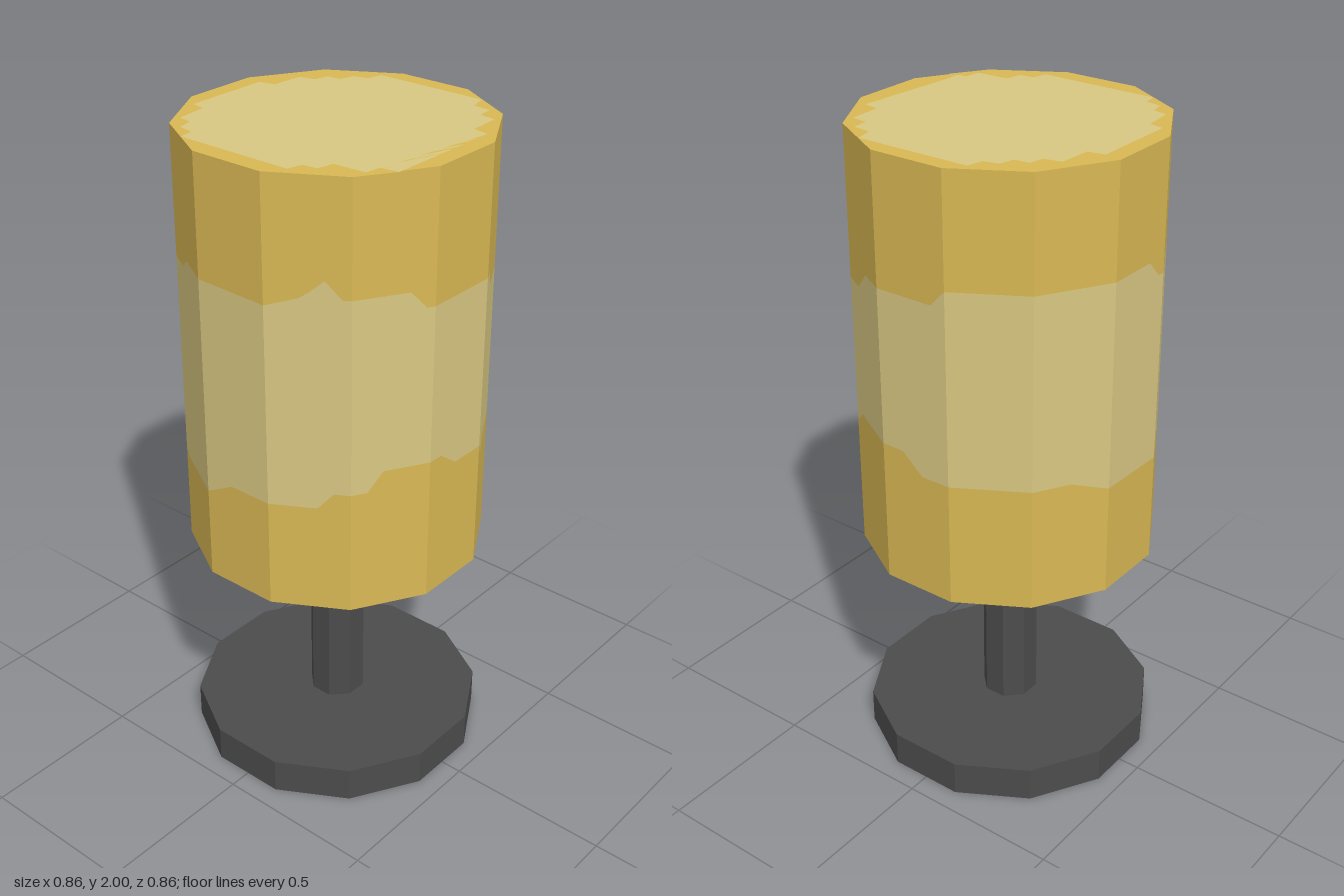
import * as THREE from 'three';

const RADIUS = 0.447, SIDES = 12, SHADE_BOTTOM = 0.71, SHADE_TOP = 2;
const rad = THREE.MathUtils.degToRad;

// Ragged borders of the pale band: [degrees from the front towards +x, height]
const bandTop = [[-75, 1.64], [-62, 1.67], [-54, 1.72], [-48, 1.67], [-24, 1.67], [-18, 1.62], [21, 1.62],
  [27, 1.56], [54, 1.56], [63, 1.62], [99, 1.62], [105, 1.67], [186, 1.67], [192, 1.62], [234, 1.62],
  [240, 1.65], [285, 1.64]];
const bandBottom = [[-75, 1.04], [-57, 1.04], [-51, 1.09], [-39, 1.09], [-33, 1.15], [-9, 1.15], [0, 1.1],
  [15, 1.1], [21, 1.05], [27, 1.09], [42, 1.09], [51, 1.15], [84, 1.15], [93, 1.09], [150, 1.09],
  [165, 1.05], [220, 1.04], [228, 0.99], [255, 0.99], [267, 1.04], [285, 1.04]];

// Stepped outline of the pale patch on the lid, as x, z
const lidPatch = [[-0.16, -0.38], [0.105, -0.38], [0.115, -0.33], [0.215, -0.325], [0.225, -0.275],
  [0.27, -0.265], [0.275, -0.22], [0.32, -0.21], [0.33, -0.165], [0.38, -0.155], [0.38, 0.2],
  [0.325, 0.215], [0.32, 0.27], [0.27, 0.275], [0.265, 0.325], [0.165, 0.33], [0.155, 0.38],
  [-0.215, 0.38], [-0.222, 0.325], [-0.27, 0.32], [-0.275, 0.22], [-0.325, 0.21], [-0.33, 0.165],
  [-0.375, 0.155], [-0.373, -0.215], [-0.33, -0.22], [-0.32, -0.27], [-0.275, -0.28], [-0.265, -0.325],
  [-0.17, -0.335]];

function heightAt(table, deg) {
  for (let i = 1; i < table.length; i++) {
    const [a0, y0] = table[i - 1], [a1, y1] = table[i];
    if (deg <= a1) return y0 + (y1 - y0) * (deg - a0) / (a1 - a0);
  }
  return table[table.length - 1][1];
}

// Point on the twelve-sided wall, with a flat side facing the front
function wallPoint(deg, y) {
  const facet = Math.round(deg / 30) * 30;
  const r = RADIUS * Math.cos(Math.PI / SIDES) / Math.cos(rad(deg - facet));
  return [r * Math.sin(rad(deg)), y, r * Math.cos(rad(deg))];
}

// Wall strip between two border heights, each a function of the angle
function wallStrip(low, high) {
  const pos = [];
  for (let d = -75; d < 285; d += 3) {
    const e = d + 3;
    const a = wallPoint(d, low(d)), b = wallPoint(e, low(e));
    const c = wallPoint(e, high(e)), f = wallPoint(d, high(d));
    pos.push(...a, ...b, ...c, ...a, ...c, ...f);
  }
  const geo = new THREE.BufferGeometry();
  geo.setAttribute('position', new THREE.Float32BufferAttribute(pos, 3));
  geo.computeVertexNormals();
  return geo;
}

// Faceted prism with a flat side facing the front
function prism(r, y0, y1, sides) {
  const geo = new THREE.CylinderGeometry(r, r, y1 - y0, sides).toNonIndexed();
  geo.rotateY(Math.PI / sides);
  geo.translate(0, (y0 + y1) / 2, 0);
  geo.computeVertexNormals();
  return geo;
}

const toShapePoints = (points) => points.map(([x, z]) => new THREE.Vector2(x, -z));

export function createModel() {
  const gold = new THREE.MeshStandardMaterial({ color: 0xd9b854 });
  gold.name = 'gold';
  const pale = new THREE.MeshStandardMaterial({ color: 0xd9c882 });
  pale.name = 'pale straw';
  const dark = new THREE.MeshStandardMaterial({ color: 0x4c4c4c });
  dark.name = 'dark grey';

  const model = new THREE.Group();
  model.name = 'tableLamp';
  const shade = new THREE.Group();
  shade.name = 'shade';
  model.add(shade);
  const add = (parent, name, geo, mat) => {
    const mesh = new THREE.Mesh(geo, mat);
    mesh.name = name;
    parent.add(mesh);
    return mesh;
  };

  // Foot and stem
  add(model, 'base', prism(RADIUS, 0, 0.11, SIDES), dark);
  add(model, 'stem', prism(0.087, 0.11, SHADE_BOTTOM, 8), dark);

  // Shade wall in three bands
  const top = (d) => heightAt(bandTop, d), bottom = (d) => heightAt(bandBottom, d);
  add(shade, 'lowerWall', wallStrip(() => SHADE_BOTTOM, bottom), gold);
  add(shade, 'glowBand', wallStrip(bottom, top), pale);
  add(shade, 'upperWall', wallStrip(top, () => SHADE_TOP), gold);

  // Lid: gold rim around a pale patch
  const corners = [];
  for (let i = 0; i < SIDES; i++) {
    const [x, , z] = wallPoint(15 + i * 30, 0);
    corners.push([x, z]);
  }
  const outline = toShapePoints(corners), patch = toShapePoints(lidPatch);
  const rimShape = new THREE.Shape(outline);
  rimShape.holes.push(new THREE.Path(patch));
  const lid = (shape) => new THREE.ShapeGeometry(shape).rotateX(-Math.PI / 2).translate(0, SHADE_TOP, 0);
  add(shade, 'lidRim', lid(rimShape), gold);
  add(shade, 'lidPatch', lid(new THREE.Shape(patch)), pale);

  // Closed underside
  const underside = new THREE.ShapeGeometry(new THREE.Shape(outline)).rotateX(Math.PI / 2);
  add(shade, 'underside', underside.translate(0, SHADE_BOTTOM, 0), gold);

  return model;
}
